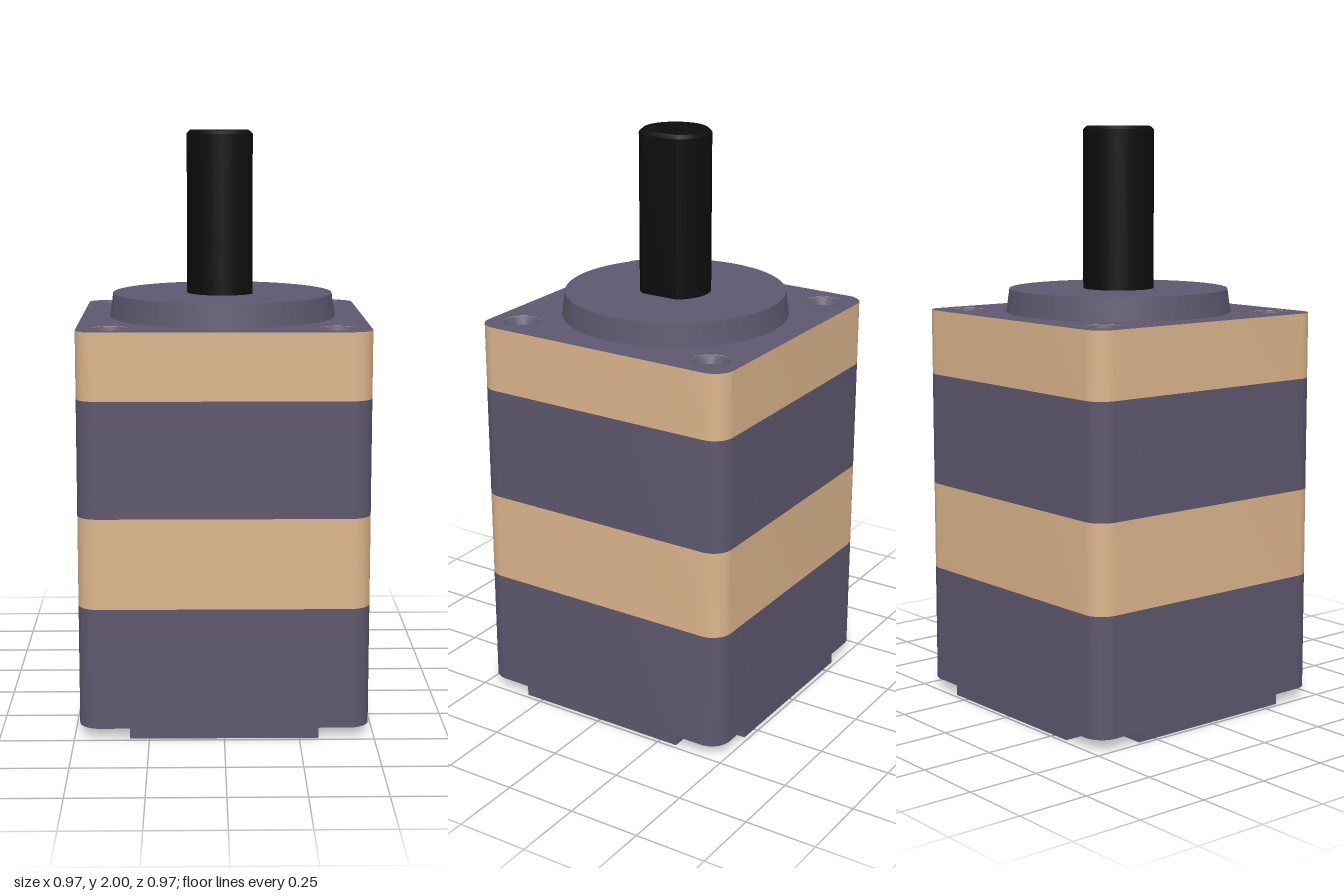
import * as THREE from 'three';
import { toCreasedNormals } from 'three/addons/utils/BufferGeometryUtils.js';

const HALF = 0.485, HOLE = 0.375;
const CORNERS = [[1, 1], [-1, 1], [-1, -1], [1, -1]];
const mat = (color) => new THREE.MeshStandardMaterial({ color, side: THREE.DoubleSide });
const purple = mat(0x5d586e), tan = mat(0xdcb58c), black = mat(0x0d0d0d);

// Circular hole path
function circle(x, y, r) {
  return new THREE.Path().absarc(x, y, r, 0, Math.PI * 2, true);
}

// Square housing outline with rounded corners
function housingShape(holeRadius = 0) {
  const a = HALF, r = 0.07, c = a - r;
  const s = new THREE.Shape();
  CORNERS.forEach(([x, y], i) => s.absarc(x * c, y * c, r, i * Math.PI / 2, (i + 1) * Math.PI / 2, false));
  s.closePath();
  if (holeRadius) CORNERS.forEach(([x, y]) => s.holes.push(circle(x * HOLE, y * HOLE, holeRadius)));
  return s;
}

// Foot outline: square with a round-cornered pocket at each corner
function footShape() {
  const a = HALF, b = 0.315, r = 0.05;
  const s = new THREE.Shape();
  for (let i = 0; i < 4; i++) {
    const c = Math.round(Math.cos(i * Math.PI / 2)), n = Math.round(Math.sin(i * Math.PI / 2));
    const p = (x, y) => [x * c - y * n, x * n + y * c];
    if (i === 0) s.moveTo(...p(a, b)); else s.lineTo(...p(a, b));
    s.lineTo(...p(b + r, b));
    s.quadraticCurveTo(...p(b, b), ...p(b, b + r));
    s.lineTo(...p(b, a));
  }
  s.closePath();
  return s;
}

// Upright extrusion from y0 to y1
function slab(name, shape, y0, y1, material, options = {}) {
  const g = new THREE.ExtrudeGeometry(shape, { depth: y1 - y0, bevelEnabled: false, curveSegments: 16, ...options });
  g.rotateX(-Math.PI / 2).translate(0, y0, 0);
  const mesh = new THREE.Mesh(toCreasedNormals(g, 0.5), material);
  mesh.name = name;
  return mesh;
}

// Turned part from [radius, height] pairs
function turned(name, points, material, segments = 64) {
  const g = new THREE.LatheGeometry(points.map(([r, y]) => new THREE.Vector2(r, y)), segments);
  const mesh = new THREE.Mesh(toCreasedNormals(g, 0.4), material);
  mesh.name = name;
  return mesh;
}

export function createModel() {
  const model = new THREE.Group();
  model.name = 'gearedMotor';

  // Foot plate with shaft bore and corner pockets
  const foot = footShape();
  foot.holes.push(circle(0, 0, 0.122));
  model.add(slab('footPlate', foot, 0, 0.035, purple));

  // Stacked housing bands; the top band has a dark upper face
  model.add(slab('lowerHousing', housingShape(0.052), 0.035, 0.445, purple));
  model.add(slab('middleBand', housingShape(), 0.445, 0.75, tan));
  model.add(slab('upperHousing', housingShape(), 0.75, 1.14, purple));
  model.add(slab('topBand', housingShape(0.063), 1.14, 1.365, [purple, tan]));

  // Countersunk mounting holes on top, bolt ends below
  for (const [x, z] of CORNERS) {
    const sink = turned('countersink', [[0.064, 0], [0.041, -0.025], [0, -0.025]], purple, 32);
    sink.position.set(x * HOLE, 1.365, z * HOLE);
    const bolt = new THREE.Mesh(new THREE.CylinderGeometry(0.052, 0.052, 0.1, 32), black);
    bolt.name = 'boltEnd';
    bolt.position.set(x * HOLE, 0.09, z * HOLE);
    model.add(sink, bolt);
  }

  // Tapered pilot boss
  model.add(turned('pilotBoss', [[0.39, 1.36], [0.378, 1.445], [0, 1.445]], purple, 96));

  // Rear shaft end, flush with the foot
  model.add(turned('rearShaft', [[0, 0.002], [0.122, 0.002], [0.122, 0.3]], black));

  // Output shaft with a flat on the +x side and a chamfered tip
  const r = 0.122, t = Math.acos(0.102 / r), bevel = 0.012;
  const dShape = new THREE.Shape().absarc(0, 0, r, t, Math.PI * 2 - t, false);
  dShape.closePath();
  model.add(slab('outputShaft', dShape, 1.4, 2 - bevel, black, {
    curveSegments: 48, bevelEnabled: true, bevelThickness: bevel, bevelSize: bevel, bevelOffset: -bevel, bevelSegments: 1,
  }));

  return model;
}
